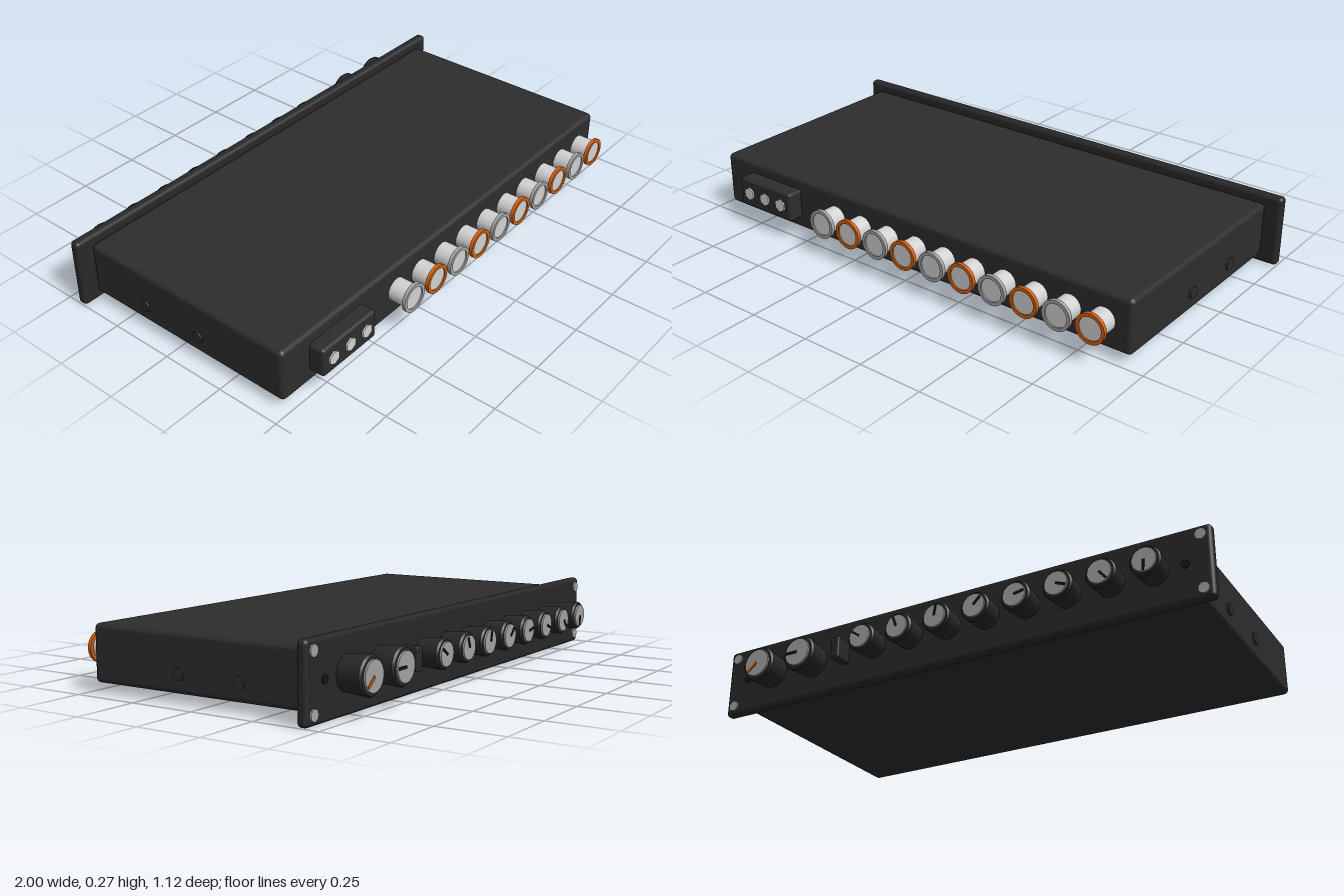
import * as THREE from 'three';
import { RoundedBoxGeometry } from 'three/addons/geometries/RoundedBoxGeometry.js';

const material = (name, color) => {
  const m = new THREE.MeshStandardMaterial({ color });
  m.name = name;
  return m;
};

export function createModel() {
  const charcoal = material('charcoal case', 0x2d2d2d);
  const panelBlack = material('panel black', 0x282828);
  const black = material('black', 0x161616);
  const silver = material('silver', 0xd2d2d2);
  const grey = material('grey metal', 0xa2a2a2);
  const orange = material('orange', 0xd0600f);

  const model = new THREE.Group();
  model.name = 'rackUnit';
  const midY = 0.14;

  const add = (parent, name, geometry, mat, x = 0, y = 0, z = 0) => {
    const mesh = new THREE.Mesh(geometry, mat);
    mesh.name = name;
    mesh.position.set(x, y, z);
    parent.add(mesh);
    return mesh;
  };
  const box = (w, h, d, r) => new RoundedBoxGeometry(w, h, d, 3, r);
  // Cylinder along z: first radius at the +z end
  const rod = (rFront, rBack, length, sides = 32) =>
    new THREE.CylinderGeometry(rFront, rBack, length, sides).rotateX(Math.PI / 2);

  // Case and rack panel
  add(model, 'case', box(1.88, 0.207, 0.896, 0.018), charcoal, 0, 0.1385, 0.032);
  add(model, 'rackPanel', box(2, 0.272, 0.04, 0.015), panelBlack, 0, 0.137, -0.434);

  // Side screws, panel screws and panel studs
  for (const side of [-1, 1]) {
    for (const z of [0.1, -0.155]) {
      const g = new THREE.CylinderGeometry(0.022, 0.022, 0.014, 24).rotateZ(Math.PI / 2);
      add(model, 'sideScrew', g, charcoal, side * 0.94, 0.104, z);
    }
    for (const y of [0.038, 0.237])
      add(model, 'panelScrew', rod(0.02, 0.02, 0.014, 20), grey, side * 0.963, y, -0.453);
    add(model, 'panelStud', rod(0.015, 0.015, 0.014, 20), black, side * 0.905, midY, -0.453);
  }

  // Knobs, angle measured as seen facing the rack panel
  const addKnob = (x, r, depth, angle, pointerMat) => {
    const knob = new THREE.Group();
    knob.name = 'knob';
    knob.position.set(x, midY, -0.452);
    knob.rotation.y = Math.PI;
    model.add(knob);
    const profile = [[0, 0], [0.88 * r, 0], [r, depth - 0.008], [r - 0.006, depth], [0, depth]]
      .map(([a, b]) => new THREE.Vector2(a, b));
    // Straight segments shaded separately keep the knob rims crisp
    for (let i = 1; i < profile.length; i++) {
      const g = new THREE.LatheGeometry([profile[i - 1], profile[i]], 32).rotateX(Math.PI / 2);
      add(knob, 'knobBody', g, panelBlack);
    }
    const capR = r * 0.77;
    add(knob, 'knobCap', rod(capR, capR, 0.008), grey, 0, 0, depth + 0.003);
    const pointer = add(knob, 'knobPointer',
      new THREE.BoxGeometry(capR * 0.9, r * 0.15, 0.006), pointerMat,
      Math.cos(angle) * capR * 0.47, Math.sin(angle) * capR * 0.47, depth + 0.0075);
    pointer.rotation.z = angle;
  };
  [-95, -50, -22, 10, 45, 80, 110, 145].forEach((degrees, i) =>
    addKnob(-0.8 + i * 0.159, 0.056, 0.093, degrees * Math.PI / 180, black));
  addKnob(0.59, 0.069, 0.098, Math.PI, black);
  addKnob(0.78, 0.069, 0.098, 220 * Math.PI / 180, orange);

  // Power switch
  add(model, 'powerSwitch', box(0.036, 0.085, 0.08, 0.006), panelBlack, 0.445, midY, -0.482);

  // Front socket with three hexagonal pins
  add(model, 'powerSocket', box(0.27, 0.114, 0.08, 0.012), charcoal, -0.675, midY, 0.499);
  for (let i = -1; i <= 1; i++)
    add(model, 'socketPin', rod(0.026, 0.026, 0.02, 6), silver, -0.675 + i * 0.084, midY, 0.535);

  // Row of round connectors with alternating rings
  const ringShape = new THREE.Shape().absarc(0, 0, 0.056, 0, Math.PI * 2, false);
  ringShape.holes.push(new THREE.Path().absarc(0, 0, 0.043, 0, Math.PI * 2, true));
  const ring = new THREE.ExtrudeGeometry(ringShape,
    { depth: 0.014, bevelEnabled: false, curveSegments: 32 });
  for (let i = 0; i < 10; i++) {
    const x = -0.354 + i * 0.1318;
    add(model, 'connectorBarrel', rod(0.044, 0.044, 0.08), silver, x, midY, 0.516);
    add(model, 'connectorRing', ring, i % 2 ? orange : grey, x, midY, 0.547);
  }
  return model;
}
